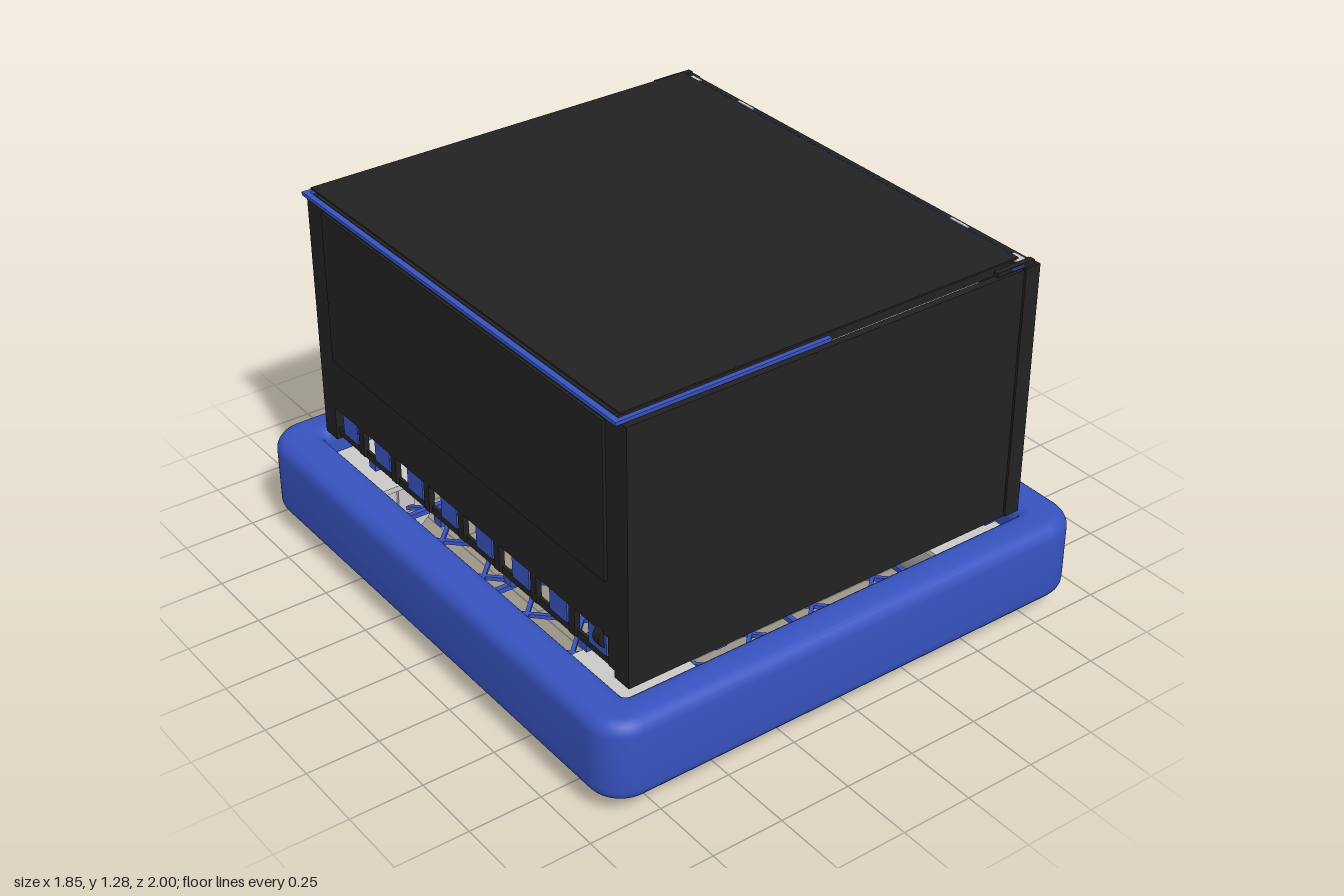
import * as THREE from 'three';
import { toCreasedNormals } from 'three/addons/utils/BufferGeometryUtils.js';

export function createModel() {
  const model = new THREE.Group();
  const material = (name, color) => {
    const m = new THREE.MeshStandardMaterial({ color });
    m.name = name;
    return m;
  };
  const black = material('panel black', 0x222222);
  const blue = material('frame blue', 0x3753c0);
  const grey = material('caster grey', 0xcbc8c8);
  const tread = material('tread grey', 0x8c8c8c);
  const ventGrey = material('vent grey', 0x6a655e);

  function add(name, geometry, mat, x = 0, y = 0, z = 0, parent = model) {
    const mesh = new THREE.Mesh(geometry, mat);
    mesh.name = name;
    mesh.position.set(x, y, z);
    parent.add(mesh);
    return mesh;
  }
  // Box given by its limits on each axis
  function block(name, mat, x0, x1, y0, y1, z0, z1, parent = model) {
    return add(name, new THREE.BoxGeometry(x1 - x0, y1 - y0, z1 - z0), mat,
      (x0 + x1) / 2, (y0 + y1) / 2, (z0 + z1) / 2, parent);
  }
  function roundedRect(path, w, h, r) {
    path.moveTo(w, -h + r);
    path.lineTo(w, h - r);
    path.absarc(w - r, h - r, r, 0, Math.PI / 2);
    path.lineTo(-w + r, h);
    path.absarc(-w + r, h - r, r, Math.PI / 2, Math.PI);
    path.lineTo(-w, -h + r);
    path.absarc(-w + r, -h + r, r, Math.PI, Math.PI * 1.5);
    path.lineTo(w - r, -h);
    path.absarc(w - r, -h + r, r, Math.PI * 1.5, Math.PI * 2);
    return path;
  }

  // Rounded bumper frame, open in the middle
  const outline = roundedRect(new THREE.Shape(), 0.875, 0.95, 0.07);
  outline.holes.push(roundedRect(new THREE.Path(), 0.82, 0.905, 0.06));
  let bumper = new THREE.ExtrudeGeometry(outline, {
    depth: 0.19, bevelSize: 0.05, bevelThickness: 0.05, bevelSegments: 6, curveSegments: 8
  });
  bumper.rotateX(-Math.PI / 2);
  bumper.translate(0, 0.11, 0);
  bumper = toCreasedNormals(bumper, 0.6);
  add('bumperFrame', bumper, blue);

  // Lattice floor: diagonals in both directions, clipped to the opening
  const lattice = new THREE.Group();
  lattice.name = 'latticeFloor';
  model.add(lattice);
  const W = 0.78, D = 0.865;
  function strut(x0, z0, x1, z1, y, size) {
    const bar = add('latticeStrut', new THREE.BoxGeometry(Math.hypot(x1 - x0, z1 - z0), size, size),
      blue, (x0 + x1) / 2, y, (z0 + z1) / 2, lattice);
    bar.rotation.y = -Math.atan2(z1 - z0, x1 - x0);
  }
  for (let c = -1.5; c <= 1.51; c += 0.25) {
    const x0 = Math.max(-W, c - D), x1 = Math.min(W, c + D);
    if (x1 - x0 < 0.1) continue;
    strut(x0, x0 - c, x1, x1 - c, 0.12, 0.014);
    strut(x0, c - x0, x1, c - x1, 0.12, 0.014);
  }
  for (const z of [-0.52, 0, 0.52]) strut(-W, z, W, z, 0.15, 0.018);
  for (const x of [-0.45, 0, 0.45]) strut(x, -D, x, D, 0.15, 0.018);

  // Casters at the four corners
  const side = new THREE.CylinderGeometry(0.118, 0.122, 0.012, 32).rotateX(Math.PI / 2);
  const roller = new THREE.CylinderGeometry(0.122, 0.122, 0.112, 32).rotateX(Math.PI / 2);
  const hub = new THREE.CylinderGeometry(0.03, 0.03, 0.15, 16).rotateX(Math.PI / 2);
  for (const sx of [-1, 1]) for (const sz of [-1, 1]) {
    const caster = new THREE.Group();
    caster.name = 'caster';
    caster.position.set(sx * 0.615, 0.122, sz * 0.69);
    model.add(caster);
    add('wheelTread', roller, tread, 0, 0, 0, caster);
    add('wheelSide', side, grey, 0, 0, 0.062, caster);
    add('wheelSide', side, grey, 0, 0, -0.062, caster).rotation.y = Math.PI;
    add('wheelHub', hub, grey, 0, 0, 0, caster);
    for (const z of [-0.075, 0.075]) block('fork', grey, -0.03, 0.03, -0.02, 0.14, z - 0.006, z + 0.006, caster);
    block('mountPlate', grey, -0.14, 0.14, 0.13, 0.15, -0.15, 0.15, caster);
  }

  // Cabinet floor with ribs, equipment and vents, seen from below
  block('cabinetFloor', black, -0.42, 0.7, 0.37, 0.4, -0.83, 0.83);
  for (const z of [-0.6, -0.2, 0.2, 0.6]) block('floorRib', blue, -0.74, 0.7, 0.33, 0.365, z - 0.02, z + 0.02);
  for (const x of [-0.42, 0.66]) block('floorRail', blue, x, x + 0.04, 0.32, 0.365, -0.83, 0.83);
  for (const z of [-0.42, 0, 0.42]) {
    block('equipmentBox', black, -0.3, 0.5, 0.24, 0.33, z - 0.13, z + 0.13);
    for (const x of [-0.18, 0.1, 0.38]) {
      block('vent', ventGrey, x - 0.1, x + 0.1, 0.232, 0.24, z - 0.1, z + 0.1);
      for (let i = -3; i <= 3; i++) {
        block('ventSlot', black, x - 0.095, x + 0.095, 0.228, 0.232, z + i * 0.028 - 0.005, z + i * 0.028 + 0.005);
      }
    }
  }

  // Cabinet walls; the -x wall stops above an open strip
  for (const s of [-1, 1]) {
    const lo = s > 0 ? 0.835 : -0.86, hi = lo + 0.025;
    block('endPanel', black, -0.76, 0.705, 0.355, 1.245, lo, hi);
    block('cornerPost', black, 0.708, 0.765, 0.355, 1.25, s > 0 ? 0.812 : -0.865, s > 0 ? 0.865 : -0.812);
    block('rearPost', black, -0.76, -0.72, 0.355, 1.245, s > 0 ? 0.79 : -0.835, s > 0 ? 0.835 : -0.79);
    block('postCap', black, 0.6, 0.75, 1.25, 1.265, s * 0.845 - 0.01, s * 0.845 + 0.01);
    block('postCapInlay', blue, 0.655, 0.705, 1.256, 1.262, s * 0.857 - 0.004, s * 0.857 + 0.004);
    block('lidRail', blue, -0.785, -0.03, 1.25, 1.262, s * 0.837 - 0.008, s * 0.837 + 0.008);
    block('topSlide', grey, -0.02, 0.55, 1.225, 1.24, s * 0.831 - 0.006, s * 0.831 + 0.006);
    block('topClip', grey, 0.71, 0.745, 1.25, 1.256, s * 0.8 - 0.025, s * 0.8 + 0.025);
  }
  block('sidePanel', black, 0.735, 0.76, 0.355, 1.25, -0.812, 0.812);
  block('sideStripe', blue, 0.759, 0.763, 0.896, 0.904, -0.735, 0.735);
  block('rearPanel', black, -0.76, -0.735, 0.48, 1.245, -0.835, 0.835);
  block('rearCover', black, -0.77, -0.76, 0.68, 1.22, -0.76, 0.76);

  // Tabs and bracket along the open strip
  block('rearSill', black, -0.75, -0.74, 0.37, 0.4, -0.8, 0.8);
  for (let i = 0; i < 8; i++) {
    const z = -0.7 + i * 0.2;
    block('rearTab', blue, -0.756, -0.745, 0.4, 0.48, z - 0.045, z + 0.045);
    block('rearTabPost', black, -0.76, -0.74, 0.38, 0.48, z + 0.06, z + 0.09);
  }
  const knob = new THREE.CylinderGeometry(0.04, 0.04, 0.03, 20);
  add('rearKnob', knob, black, -0.737, 0.46, 0.72).rotation.x = Math.PI / 2;

  // Top deck, side rail and thin lid
  block('topDeck', black, -0.735, 0.735, 1.19, 1.22, -0.835, 0.835);
  block('sideTopRail', blue, 0.708, 0.735, 1.22, 1.256, -0.77, 0.77);
  for (const z of [-0.53, 0.53]) block('railClip', grey, 0.738, 0.75, 1.25, 1.255, z - 0.04, z + 0.04);
  block('rearLidRail', blue, -0.785, -0.765, 1.25, 1.262, -0.83, 0.83);
  block('lidCore', black, -0.76, 0.7, 1.22, 1.258, -0.8, 0.8);
  block('lid', black, -0.76, 0.705, 1.27, 1.276, -0.83, 0.83);
  return model;
}
